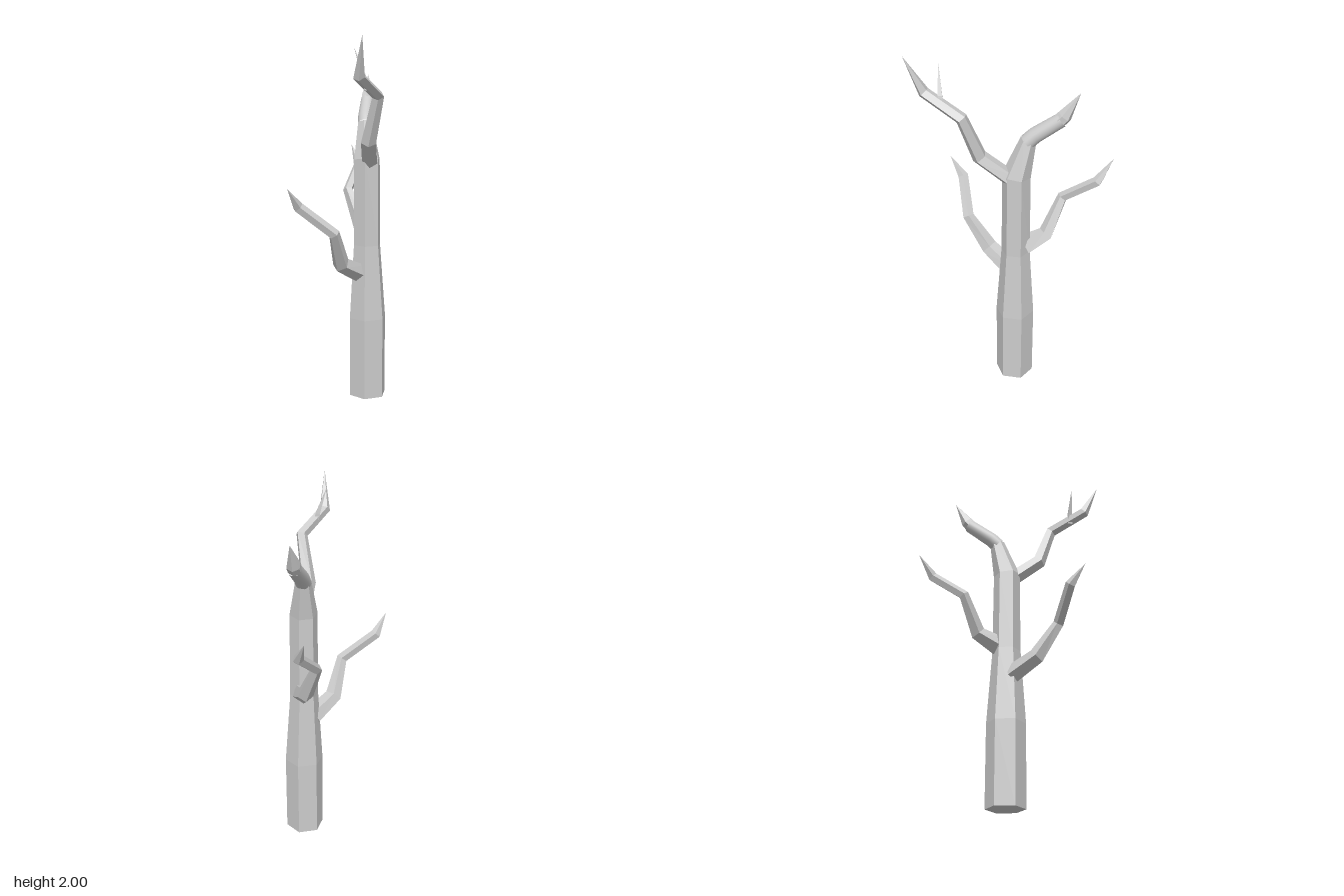
import * as THREE from 'three';

// Loft a limb through rings given as [x, y, z, radius]; a zero radius makes a pointed tip.
function limb(name, rings, sides, { ref = [1, 0, 0], smooth = false, phase = 0 } = {}) {
  const pts = rings.map(r => new THREE.Vector3(r[0], r[1], r[2]));
  const n = pts.length;
  const dir = i => pts[i + 1].clone().sub(pts[i]).normalize();
  const tangent = i => i === 0 ? dir(0) : i === n - 1 ? dir(n - 2) : dir(i - 1).add(dir(i)).normalize();

  const pos = [], idx = [];
  let t = tangent(0);
  const u = new THREE.Vector3(...ref);
  u.addScaledVector(t, -u.dot(t)).normalize();
  for (let i = 0; i < n; i++) {
    // carry the ring frame along the bends without twisting
    const next = tangent(i);
    u.applyQuaternion(new THREE.Quaternion().setFromUnitVectors(t, next));
    t = next;
    const v = t.clone().cross(u);
    for (let k = 0; k < sides; k++) {
      const a = phase + k / sides * Math.PI * 2, r = rings[i][3];
      const p = pts[i].clone().addScaledVector(u, r * Math.cos(a)).addScaledVector(v, r * Math.sin(a));
      pos.push(p.x, p.y, p.z);
    }
  }
  for (let i = 0; i < n - 1; i++) {
    for (let k = 0; k < sides; k++) {
      const a = i * sides + k, b = i * sides + (k + 1) % sides;
      idx.push(a, b, a + sides);
      if (rings[i + 1][3] > 0) idx.push(b, b + sides, a + sides);
    }
  }
  // close the ends
  const last = (n - 1) * sides;
  for (let k = 1; k < sides - 1; k++) {
    if (!smooth) idx.push(0, k + 1, k);
    if (!smooth && rings[n - 1][3] > 0) idx.push(last, last + k, last + k + 1);
  }
  const geo = new THREE.BufferGeometry();
  geo.setAttribute('position', new THREE.Float32BufferAttribute(pos, 3));
  geo.setIndex(idx);
  geo.computeVertexNormals();
  const mesh = new THREE.Mesh(geo, new THREE.MeshStandardMaterial({ color: 0xcccccc, flatShading: !smooth }));
  mesh.name = name;
  return mesh;
}

export function createModel() {
  const tree = new THREE.Group();
  tree.name = 'bareTree';

  // Six-sided trunk, narrowing and leaning at the top
  tree.add(limb('trunk', [
    [0.037, 0, -0.11, 0.108],
    [0.037, 0.46, -0.11, 0.108],
    [0.033, 0.88, -0.108, 0.079],
    [0.031, 1.36, -0.108, 0.076],
    [-0.015, 1.565, -0.148, 0.042],
  ], 6));

  // Rounded top limb with a faceted point
  tree.add(limb('topLimb', [
    [-0.01, 1.55, -0.142, 0.042],
    [-0.035, 1.59, -0.175, 0.042],
    [-0.108, 1.685, -0.285, 0.038],
  ], 18, { smooth: true }));
  tree.add(limb('topLimbTip', [
    [-0.1, 1.675, -0.273, 0.038],
    [-0.115, 1.705, -0.295, 0.038],
    [-0.16, 1.83, -0.355, 0],
  ], 6));

  // Upper left branch and its twig
  tree.add(limb('upperBranch', [
    [0.065, 1.35, -0.09, 0.044],
    [0.155, 1.468, 0.035, 0.042],
    [0.245, 1.71, 0.07, 0.033],
    [0.29, 1.805, 0.28, 0.031],
    [0.36, 2.0, 0.342, 0],
  ], 5, { ref: [0, -1, 0] }));
  tree.add(limb('twig', [
    [0.268, 1.74, 0.19, 0.02],
    [0.258, 1.8, 0.2, 0.017],
    [0.222, 1.95, 0.236, 0],
  ], 4));

  // Back right branch
  tree.add(limb('backBranch', [
    [0.0, 0.91, -0.145, 0.06],
    [-0.1, 0.965, -0.215, 0.045],
    [-0.213, 1.16, -0.235, 0.03],
    [-0.277, 1.295, -0.41, 0.029],
    [-0.365, 1.41, -0.448, 0],
  ], 5, { ref: [0, -1, 0] }));

  // Front branch
  tree.add(limb('frontBranch', [
    [0.018, 0.725, -0.06, 0.056],
    [0.018, 0.798, 0.1, 0.048],
    [0.065, 0.985, 0.212, 0.032],
    [-0.058, 1.135, 0.358, 0.03],
    [-0.05, 1.24, 0.446, 0],
  ], 5, { ref: [0, 1, 0], phase: Math.PI / 5 }));

  return tree;
}
